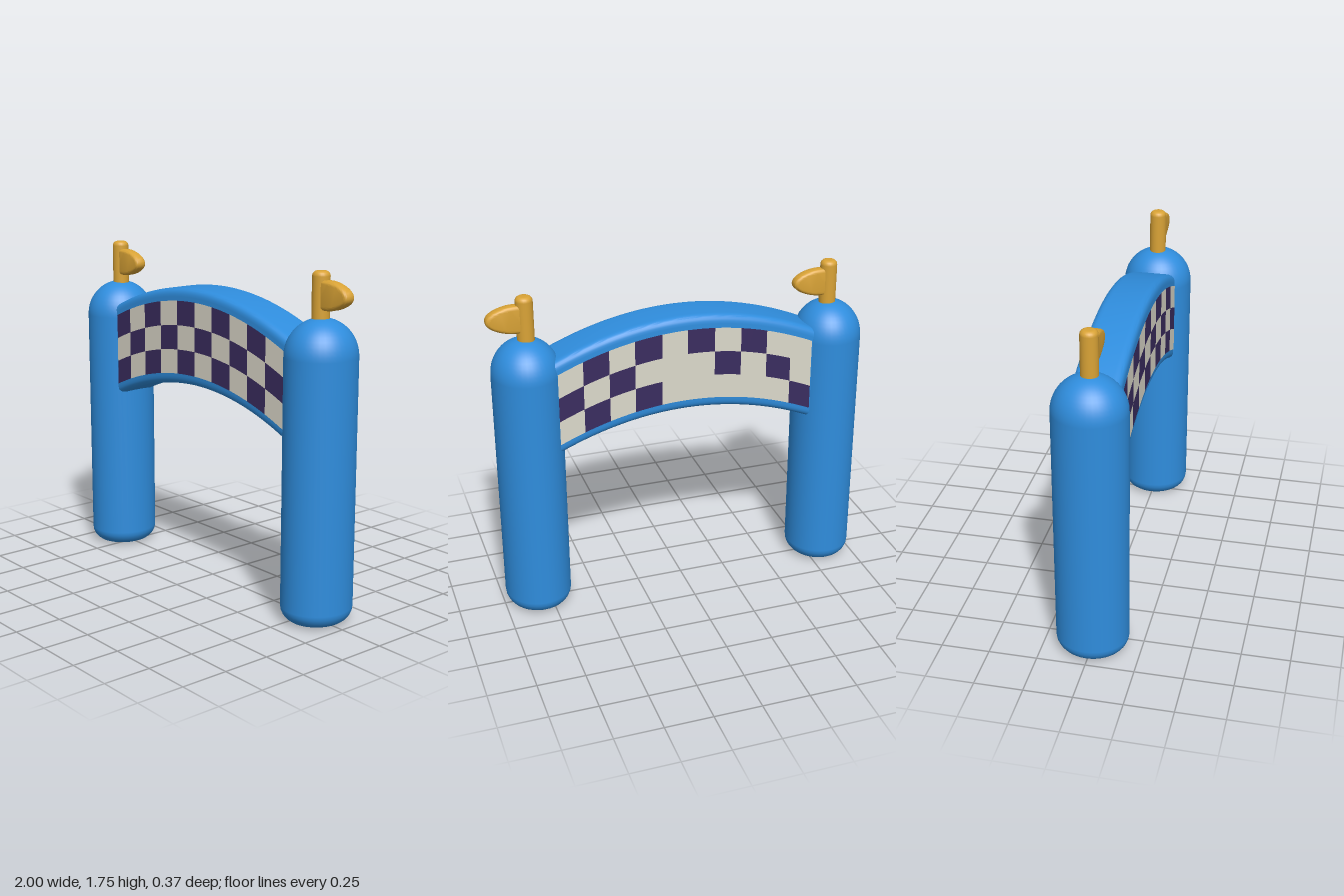
import * as THREE from 'three';
import { mergeGeometries, toCreasedNormals } from 'three/addons/utils/BufferGeometryUtils.js';

const SAG = 0.325; // how strongly the banner curves down towards its ends

function mat(name, color) {
  const m = new THREE.MeshStandardMaterial({ color });
  m.name = name;
  return m;
}

// Lower every vertex by a parabola in x, so straight parts follow the arch
function bend(geo) {
  const p = geo.attributes.position;
  for (let i = 0; i < p.count; i++) p.setY(i, p.getY(i) - SAG * p.getX(i) ** 2);
  return geo;
}

function mesh(name, geo, material) {
  const m = new THREE.Mesh(geo, material);
  m.name = name;
  return m;
}

const vec = (x, y) => new THREE.Vector2(x, y);

// Quarter-round run of profile points, from angle a to b
function arc(cx, cy, rx, ry, a, b, n) {
  return Array.from({ length: n + 1 }, (_, i) => {
    const t = a + (b - a) * i / n;
    return vec(Math.max(0, cx + rx * Math.cos(t)), cy + ry * Math.sin(t));
  });
}

// Inflated column: rounded foot, straight wall, domed top
function columnGeometry() {
  const r = 0.176;
  const profile = [
    vec(0, 0),
    ...arc(r - 0.08, 0.08, 0.08, 0.08, -Math.PI / 2, 0, 6),
    ...arc(0, 1.345, r, 0.187, 0, Math.PI / 2, 12),
  ];
  return new THREE.LatheGeometry(profile, 40).scale(1, 1, 1.06);
}

// Arched beam with rounded long edges
function beamGeometry() {
  const w = 0.12, lo = 1.067, hi = 1.582, r = 0.045, len = 1.5;
  const s = new THREE.Shape();
  s.moveTo(-w + r, lo);
  s.lineTo(w - r, lo);
  s.quadraticCurveTo(w, lo, w, lo + r);
  s.lineTo(w, hi - r);
  s.quadraticCurveTo(w, hi, w - r, hi);
  s.lineTo(-w + r, hi);
  s.quadraticCurveTo(-w, hi, -w, hi - r);
  s.lineTo(-w, lo + r);
  s.quadraticCurveTo(-w, lo, -w + r, lo);
  const g = new THREE.ExtrudeGeometry(s, { depth: len, steps: 36, bevelEnabled: false, curveSegments: 6 });
  g.translate(0, 0, -len / 2).rotateY(Math.PI / 2);
  return toCreasedNormals(bend(g), 0.6);
}

// All checks of one tone on one face of the beam
function checksGeometry(dark, side, faded) {
  const edges = [-0.685, -0.565, -0.43, -0.288, -0.145, 0, 0.137, 0.28, 0.415, 0.55, 0.68];
  const rowH = 0.13, cells = [];
  for (let c = 0; c < 10; c++) {
    for (let row = 0; row < 3; row++) {
      const isDark = (c + row) % 2 === 0 && !faded.includes(c + ':' + row);
      if (isDark !== dark) continue;
      const g = new THREE.PlaneGeometry(edges[c + 1] - edges[c], rowH, 4, 1);
      if (side < 0) g.rotateY(Math.PI);
      g.translate((edges[c] + edges[c + 1]) / 2, 1.515 - rowH * (row + 0.5), side * 0.1225);
      cells.push(bend(g));
    }
  }
  return mergeGeometries(cells);
}

// Puffy pennant pointing to +x, with its hoist at x = 0
function pennantGeometry() {
  const s = new THREE.Shape();
  s.moveTo(0, 1.587);
  s.lineTo(0.06, 1.587);
  s.bezierCurveTo(0.11, 1.59, 0.18, 1.62, 0.18, 1.642);
  s.bezierCurveTo(0.18, 1.67, 0.11, 1.695, 0.06, 1.695);
  s.lineTo(0, 1.695);
  const g = new THREE.ExtrudeGeometry(s, {
    depth: 0.026, bevelEnabled: true, bevelThickness: 0.019, bevelSize: 0.018, bevelSegments: 5, curveSegments: 12,
  });
  g.translate(0, 0, -0.013);
  return toCreasedNormals(g, 0.9);
}

export function createModel() {
  const blue = mat('inflatable blue', 0x2f8ddd);
  const cream = mat('check cream', 0xdcd9cb);
  const navy = mat('check navy', 0x3a2c5f);
  const gold = mat('flag gold', 0xd9a336);

  const model = new THREE.Group();
  model.name = 'archway';

  // Columns, each topped with a flag
  const columnGeo = columnGeometry();
  const poleGeo = new THREE.LatheGeometry(
    [vec(0.044, 1.48), ...arc(0.019, 1.73, 0.025, 0.025, 0, Math.PI / 2, 5), vec(0, 1.755)], 24);
  const pennantGeo = pennantGeometry();
  const posts = [
    { side: 'right', x: -0.824, flagX: -0.815 },
    { side: 'left', x: 0.814, flagX: 0.804 },
  ];
  for (const { side, x, flagX } of posts) {
    const column = mesh(side + 'Column', columnGeo, blue);
    column.position.x = x;
    const flag = new THREE.Group();
    flag.name = side + 'Flag';
    flag.position.x = flagX;
    flag.add(mesh('flagPole', poleGeo, gold), mesh('pennant', pennantGeo, gold));
    model.add(column, flag);
  }

  // Arched banner with checks on both faces
  model.add(mesh('archBeam', beamGeometry(), blue));
  const backFaded = ['5:1', '4:2', '2:2', '0:0'];
  for (const [name, side, faded] of [['front', 1, []], ['back', -1, backFaded]]) {
    model.add(mesh(name + 'DarkChecks', checksGeometry(true, side, faded), navy));
    model.add(mesh(name + 'LightChecks', checksGeometry(false, side, faded), cream));
  }
  return model;
}
